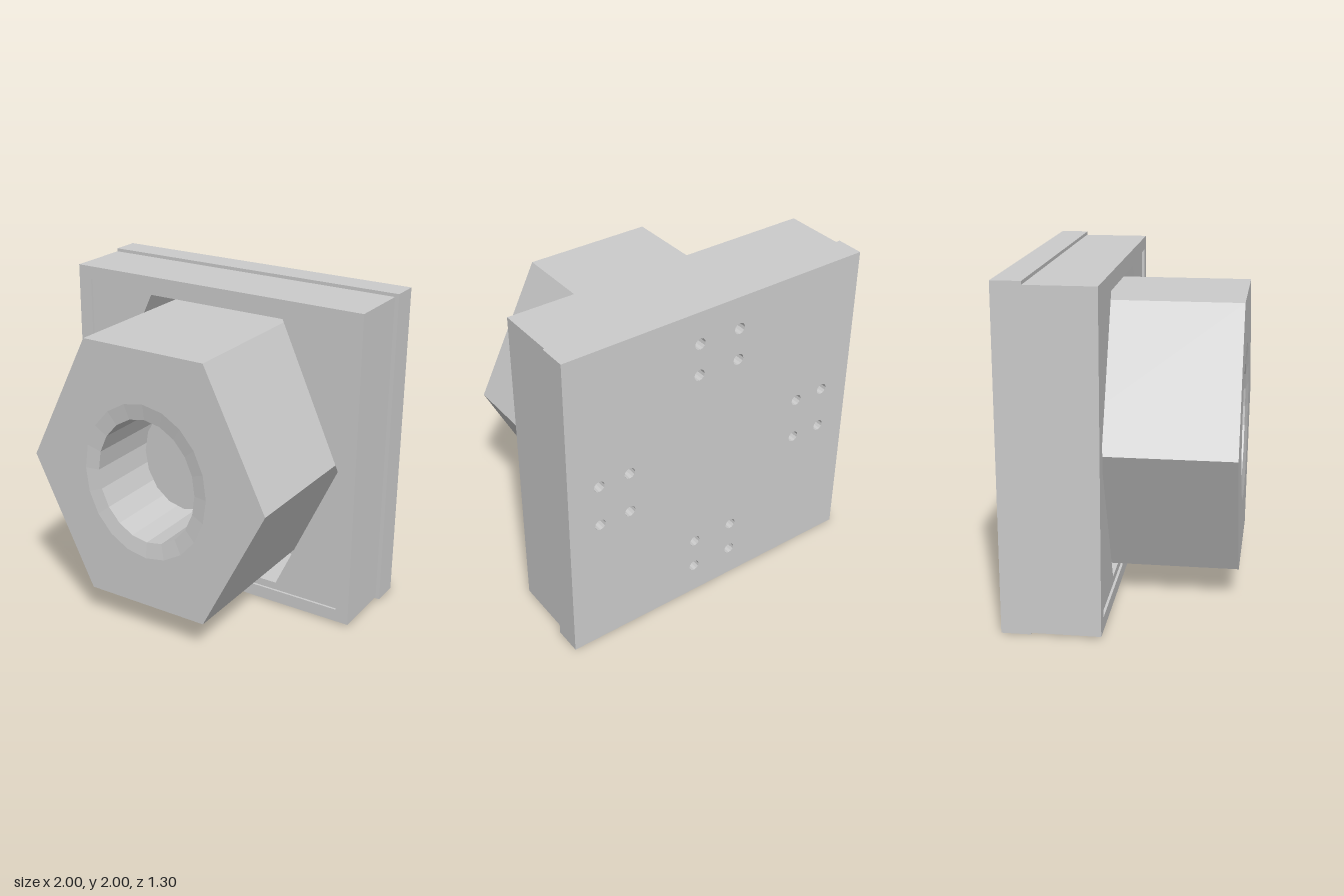
import * as THREE from 'three';

const CY = 1; // height of the main axis

const poly = (pts, Type = THREE.Shape) => new Type(pts.map(([x, y]) => new THREE.Vector2(x, y)));
const rect = (x0, y0, x1, y1) => [[x0, y0], [x1, y0], [x1, y1], [x0, y1]];
const hex = (r, h, half) => [[r, CY], [half, CY + h], [-half, CY + h], [-r, CY], [-half, CY - h], [half, CY - h]];
const oval = (x, y, rx, ry, n) => Array.from({ length: n }, (_, i) => {
  const a = (i / n) * Math.PI * 2;
  return [x + rx * Math.cos(a), y + ry * Math.sin(a)];
});

export function createModel() {
  const group = new THREE.Group();
  const mat = new THREE.MeshStandardMaterial({ color: 0xcccccc, flatShading: true });
  const openMat = mat.clone();
  openMat.side = THREE.DoubleSide;

  const add = (name, geometry, material = mat) => {
    const mesh = new THREE.Mesh(geometry, material);
    mesh.name = name;
    group.add(mesh);
    return mesh;
  };
  // Slab of an outline with holes, between two depths
  const slab = (name, outline, holes, z0, z1) => {
    const shape = poly(outline);
    shape.holes = holes.map((h) => poly(h, THREE.Path));
    const geo = new THREE.ExtrudeGeometry(shape, { depth: z1 - z0, bevelEnabled: false });
    return add(name, geo.translate(0, 0, z0));
  };

  // Back plate with four clusters of four small holes
  const screwHoles = [];
  for (const a of [-1, 1]) for (const b of [-1, 1]) for (const d of [0.6, 0.8]) {
    screwHoles.push(oval(a * 0.135, CY + b * d, 0.035, 0.035, 12));
    screwHoles.push(oval(b * d, CY + a * 0.135, 0.035, 0.035, 12));
  }
  slab('backPlate', rect(-1, 0, 1, 2), screwHoles, -0.65, -0.5);
  slab('backPlateFace', rect(-1, 0, 1, 2), [], -0.5, -0.48);

  // Front plate with a hexagonal socket and a thin raised rim
  const plate = rect(-1, 0.01, 0.975, 1.98);
  slab('frontPlate', plate, [hex(0.855, 0.862, 0.46)], -0.48, -0.095);
  slab('frontPlateRim', plate, [rect(-0.91, 0.09, 0.89, 1.9)], -0.095, -0.08);

  // Hexagonal block seated in the socket with some clearance
  slab('hexBlock', hex(0.8, 0.8, 0.4), [oval(0, CY, 0.42, 0.483, 20)], -0.48, 0.65);

  // Oval bore with a shallow countersink
  const profile = [[0.335, -0.48], [0.335, 0.635], [0.42, 0.65]].map(([r, z]) => new THREE.Vector2(r, z));
  const bore = new THREE.LatheGeometry(profile, 20, Math.PI / 2);
  add('bore', bore.rotateX(Math.PI / 2).scale(1, 1.15, 1).translate(0, CY, 0), openMat);

  // Oval core inside the bore
  slab('core', oval(0, CY, 0.275, 0.325, 16), [], -0.48, 0.25);

  return group;
}
